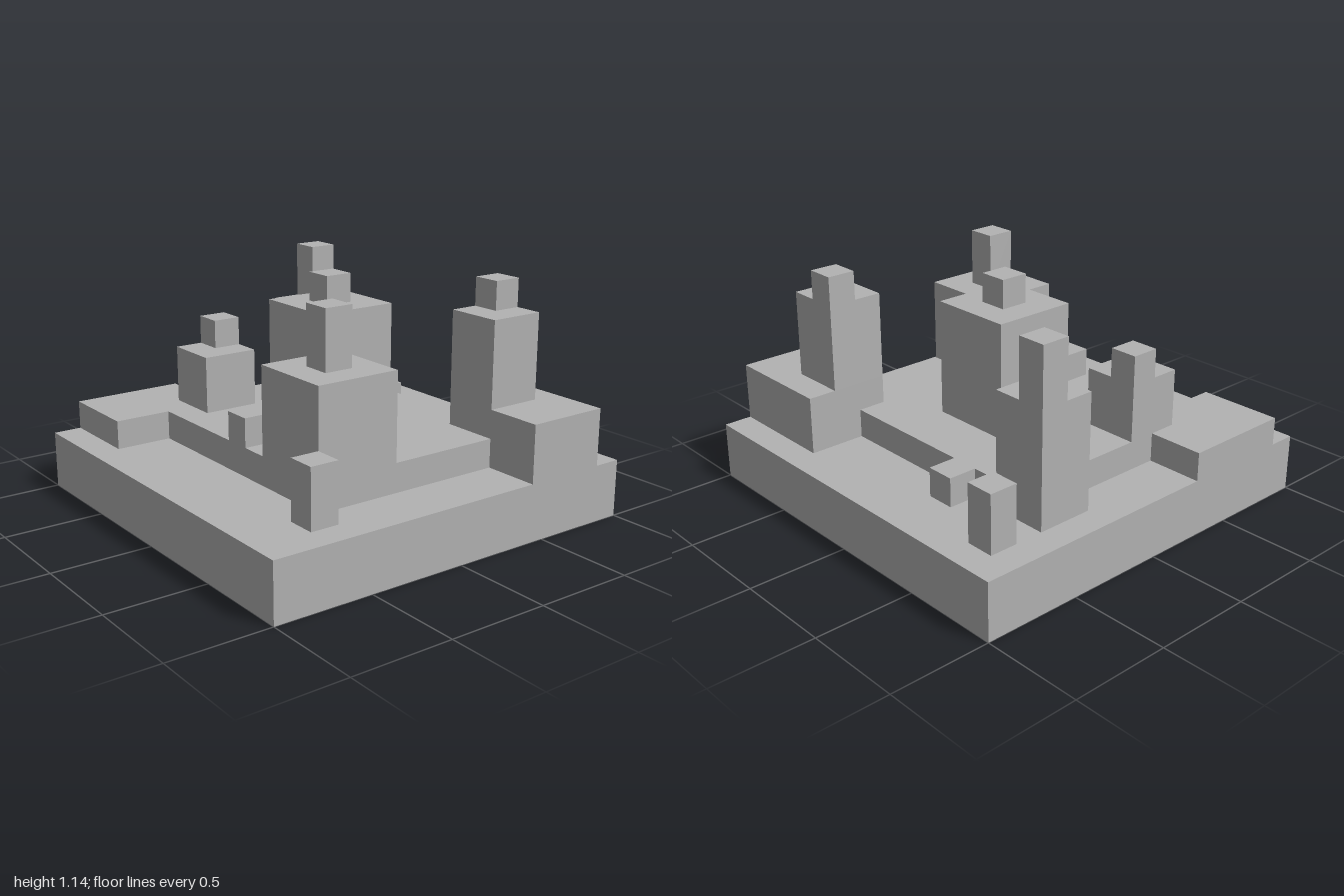
import * as THREE from 'three';

// All sizes are in grid cells; the base is 14 cells wide.
const CELL = 1 / 7;

export function createModel() {
  const group = new THREE.Group();
  const stone = new THREE.MeshStandardMaterial({ color: 0xb2b2b2 });
  stone.name = 'stone grey';

  const add = (name, geometry) => {
    geometry.scale(CELL, CELL, CELL);
    const mesh = new THREE.Mesh(geometry, stone);
    mesh.name = name;
    group.add(mesh);
  };

  // Box given by its ranges in x, y and z
  const block = (name, [x0, x1], [y0, y1], [z0, z1]) => {
    const g = new THREE.BoxGeometry(x1 - x0, y1 - y0, z1 - z0);
    g.translate((x0 + x1) / 2, (y0 + y1) / 2, (z0 + z1) / 2);
    add(name, g);
  };

  block('base', [-7, 7], [0, 2], [-7, 7]);

  // Raised terrace, one cell thick, outlined in x and z
  const outline = [
    [-7, 6], [-4, 6], [-4, 4], [5, 4], [5, -3], [3, -3], [3, -4], [-2, -4],
    [-2, -5], [-3, -5], [-3, -4], [-4, -4], [-4, -2], [-5, -2], [-5, 2], [-7, 2],
  ].map(([x, z]) => new THREE.Vector2(x, z));
  const terrace = new THREE.ExtrudeGeometry(new THREE.Shape(outline), { depth: 1, bevelEnabled: false });
  terrace.rotateX(Math.PI / 2).translate(0, 3, 0);
  add('terrace', terrace);

  // Central keep
  block('centralTower', [-2, 1], [3, 7], [-2, 1]);
  block('centralTowerCap', [-1, 0], [7, 8], [-1, 0]);

  // Front tower with chimney
  block('frontTower', [2, 5], [3, 6], [1, 4]);
  block('frontChimney', [3, 4], [6, 8], [2, 3]);

  // Back corner platform with tower
  block('cornerPlatform', [3, 7], [2, 4], [-6, -3]);
  block('cornerTower', [3, 5], [4, 7], [-5, -3]);
  block('cornerTowerCap', [3, 4], [7, 8], [-5, -4]);

  // Back side tower with turret
  block('sideTower', [-6, -4], [2, 6], [-4, -2]);
  block('sideTurret', [-6, -5], [6, 8], [-4, -3]);

  // Low side house
  block('sideHouse', [-5, -3], [3, 5], [1, 3]);
  block('sideHouseCap', [-5, -4], [5, 6], [1, 2]);

  // Small posts
  block('terracePost', [0, 1], [3, 4], [3, 4]);
  block('frontPost', [5, 6], [2, 4], [4, 5]);
  block('backPost', [-6, -5], [2, 4], [-6, -5]);

  return group;
}
